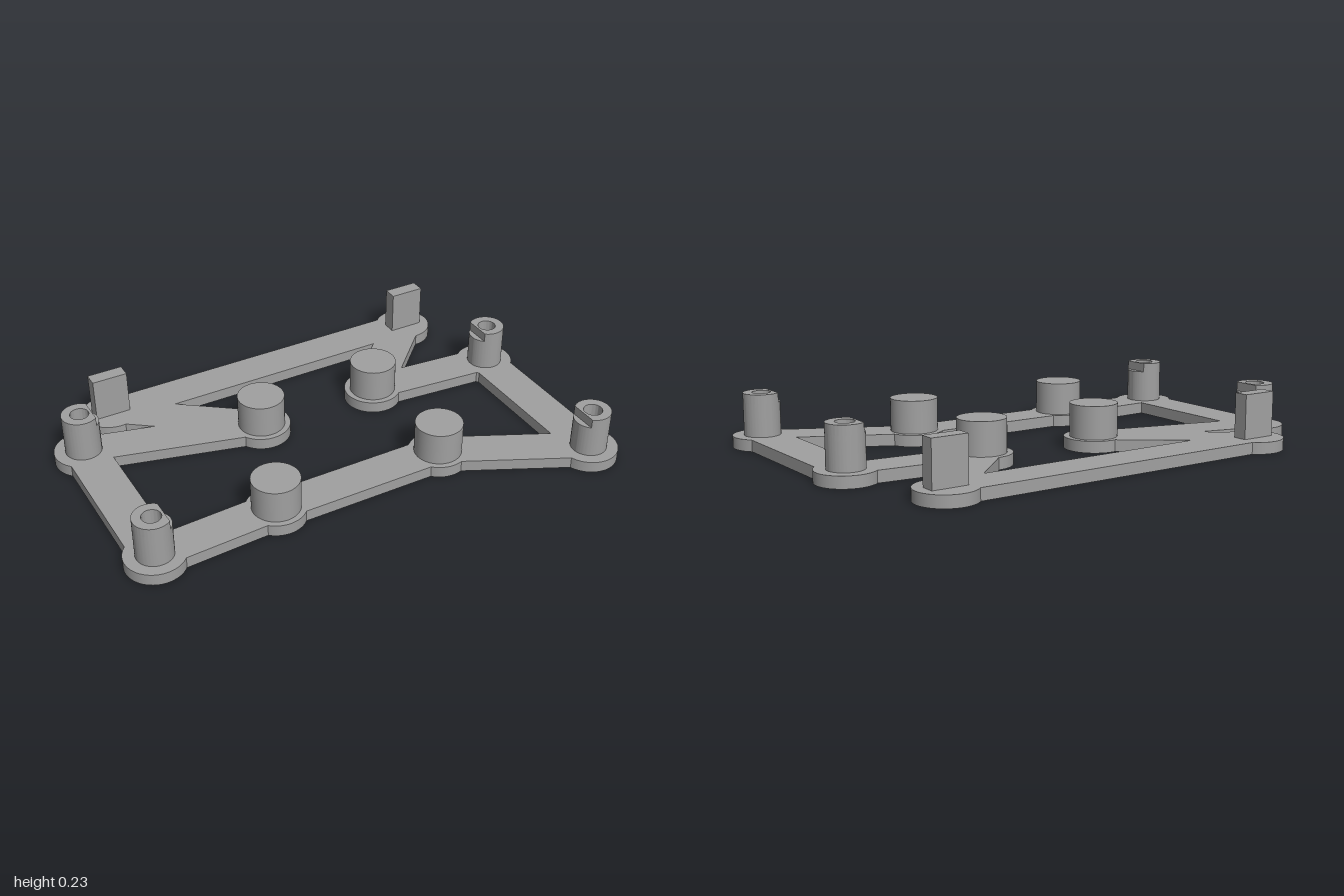
import * as THREE from 'three';
import { toCreasedNormals } from 'three/addons/utils/BufferGeometryUtils.js';

const PLATE = 0.047, PAD_R = 0.118, BAR_W = 0.166;
const PEG_R = 0.095, PEG_TOP = 0.18;
const POST_R = 0.0725, HOLE_R = 0.037, POST_TOP = 0.217, CUT = 0.047;

// Joints of the frame as [x, z]
const tabs = [[-0.69, -0.574], [0.725, -0.574]];
const posts = [[-0.882, -0.38], [-0.882, 0.33], [0.88, -0.15], [0.88, 0.572]];
const pegs = [[-0.185, -0.198], [0.34, -0.198], [-0.38, 0.306], [0.34, 0.306]];

export function createModel() {
  const model = new THREE.Group();
  const grey = new THREE.MeshStandardMaterial({ color: 0xa0a0a0 });
  grey.name = 'plain grey';

  function add(name, geometry, x, y, z, parent = model) {
    const mesh = new THREE.Mesh(geometry, grey);
    mesh.name = name;
    mesh.position.set(x, y, z);
    parent.add(mesh);
    return mesh;
  }

  // Round pad under every joint
  const pad = new THREE.CylinderGeometry(PAD_R, PAD_R, PLATE, 64);
  for (const [x, z] of [...tabs, ...posts, ...pegs]) add('pad', pad, x, PLATE / 2, z);

  // Flat bars linking the joints
  const links = [
    [tabs[0], tabs[1]], [tabs[0], pegs[0]], [tabs[1], pegs[1]],
    [posts[0], pegs[0]], [posts[0], posts[1]], [posts[1], pegs[2]],
    [pegs[2], pegs[3]], [pegs[3], posts[3]], [posts[3], posts[2]], [posts[2], pegs[1]],
  ];
  for (const [a, b] of links) {
    const dx = b[0] - a[0], dz = b[1] - a[1];
    const bar = add('bar', new THREE.BoxGeometry(Math.hypot(dx, dz), PLATE, BAR_W),
      (a[0] + b[0]) / 2, PLATE / 2, (a[1] + b[1]) / 2);
    bar.rotation.y = -Math.atan2(dz, dx);
  }

  // Solid pegs
  const peg = new THREE.CylinderGeometry(PEG_R, PEG_R, PEG_TOP - PLATE, 64);
  for (const [x, z] of pegs) add('peg', peg, x, (PEG_TOP + PLATE) / 2, z);

  // Upright rectangular tabs
  const tab = new THREE.BoxGeometry(0.145, 0.225 - PLATE, 0.059);
  for (const [x, z] of tabs) add('tab', tab, x, (0.225 + PLATE) / 2, z);

  // Hollow posts: a round tube with a flat cut across the inner side of its rim
  function tube(startAngle, height) {
    const shape = new THREE.Shape();
    shape.absarc(0, 0, POST_R, startAngle, Math.PI * 2 - startAngle, false);
    shape.closePath();
    const hole = new THREE.Path();
    hole.absarc(0, 0, HOLE_R, 0, Math.PI * 2, true);
    shape.holes.push(hole);
    const geometry = new THREE.ExtrudeGeometry(shape, { depth: height, bevelEnabled: false, curveSegments: 48 });
    geometry.rotateX(-Math.PI / 2);
    return toCreasedNormals(geometry, 0.5);
  }
  const sleeve = tube(0, PEG_TOP - PLATE);
  const rim = tube(Math.acos(CUT / POST_R), POST_TOP - PEG_TOP);
  for (const [x, z] of posts) {
    const post = new THREE.Group();
    post.name = 'post';
    post.position.set(x, 0, z);
    post.rotation.y = x > 0 ? Math.PI : 0;
    add('postSleeve', sleeve, 0, PLATE, 0, post);
    add('postRim', rim, 0, PEG_TOP, 0, post);
    model.add(post);
  }

  return model;
}
